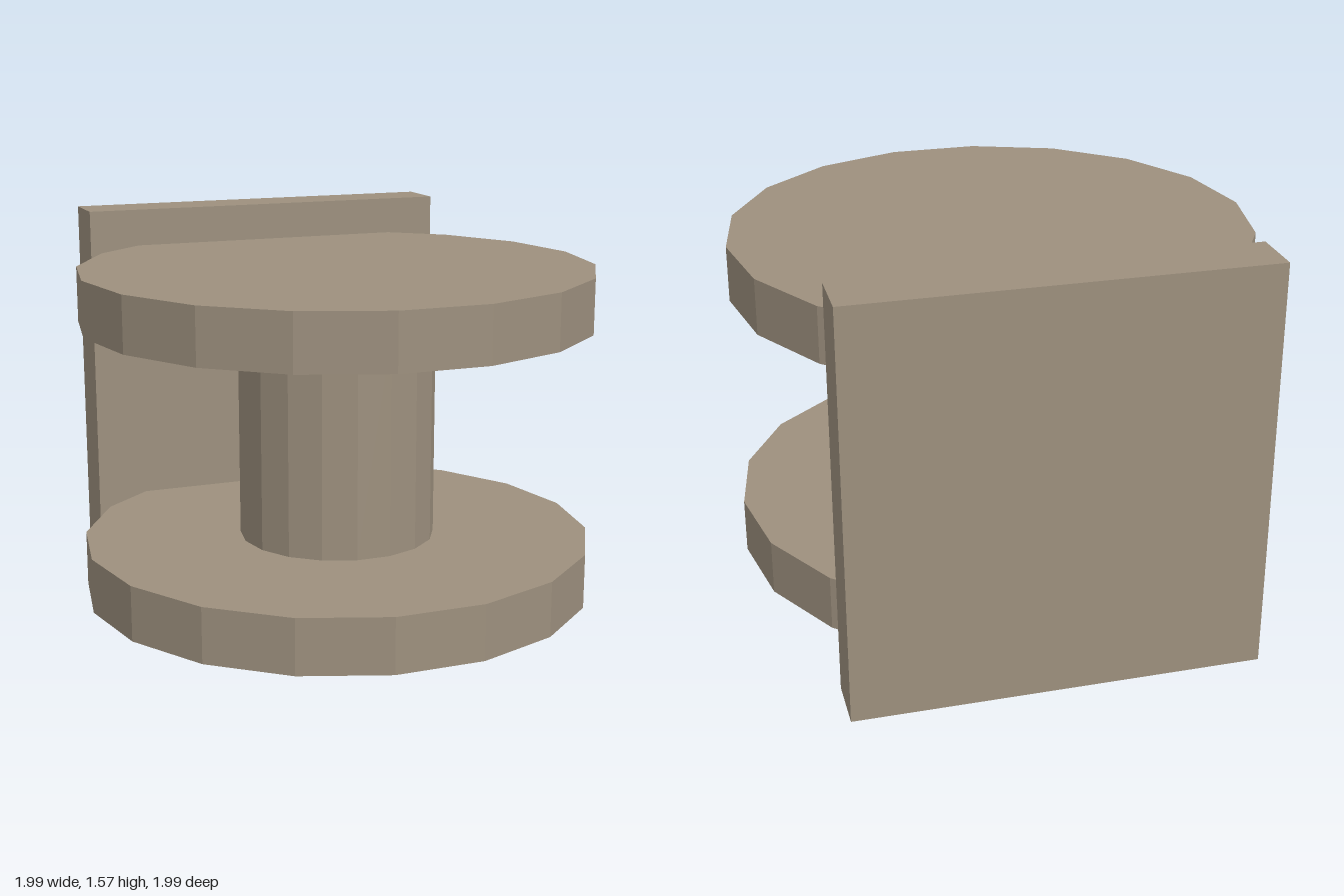
import * as THREE from 'three';

const SIDES = 18;
const AXIS_Z = 0.015;

export function createModel() {
  const group = new THREE.Group();
  const stone = new THREE.MeshStandardMaterial({ color: 0x9d907e, flatShading: true });
  stone.name = 'warm grey';

  const add = (name, geometry, y, z) => {
    const mesh = new THREE.Mesh(geometry, stone);
    mesh.name = name;
    mesh.position.set(0, y, z);
    group.add(mesh);
  };

  // Faceted upright drum with a flat facing the front
  const drum = (name, radius, bottom, top) => add(
    name,
    new THREE.CylinderGeometry(radius, radius, top - bottom, SIDES, 1, false, Math.PI / SIDES),
    (bottom + top) / 2, AXIS_Z,
  );

  // Two discs joined by a central column
  drum('lowerDisc', 0.995, 0.15, 0.363);
  drum('column', 0.383, 0.363, 1.213);
  drum('upperDisc', 0.995, 1.213, 1.425);

  // Mounting plate; the discs sink into its front face
  add('backPlate', new THREE.BoxGeometry(1.53, 1.573, 0.208), 0.7865, -0.896);

  return group;
}
